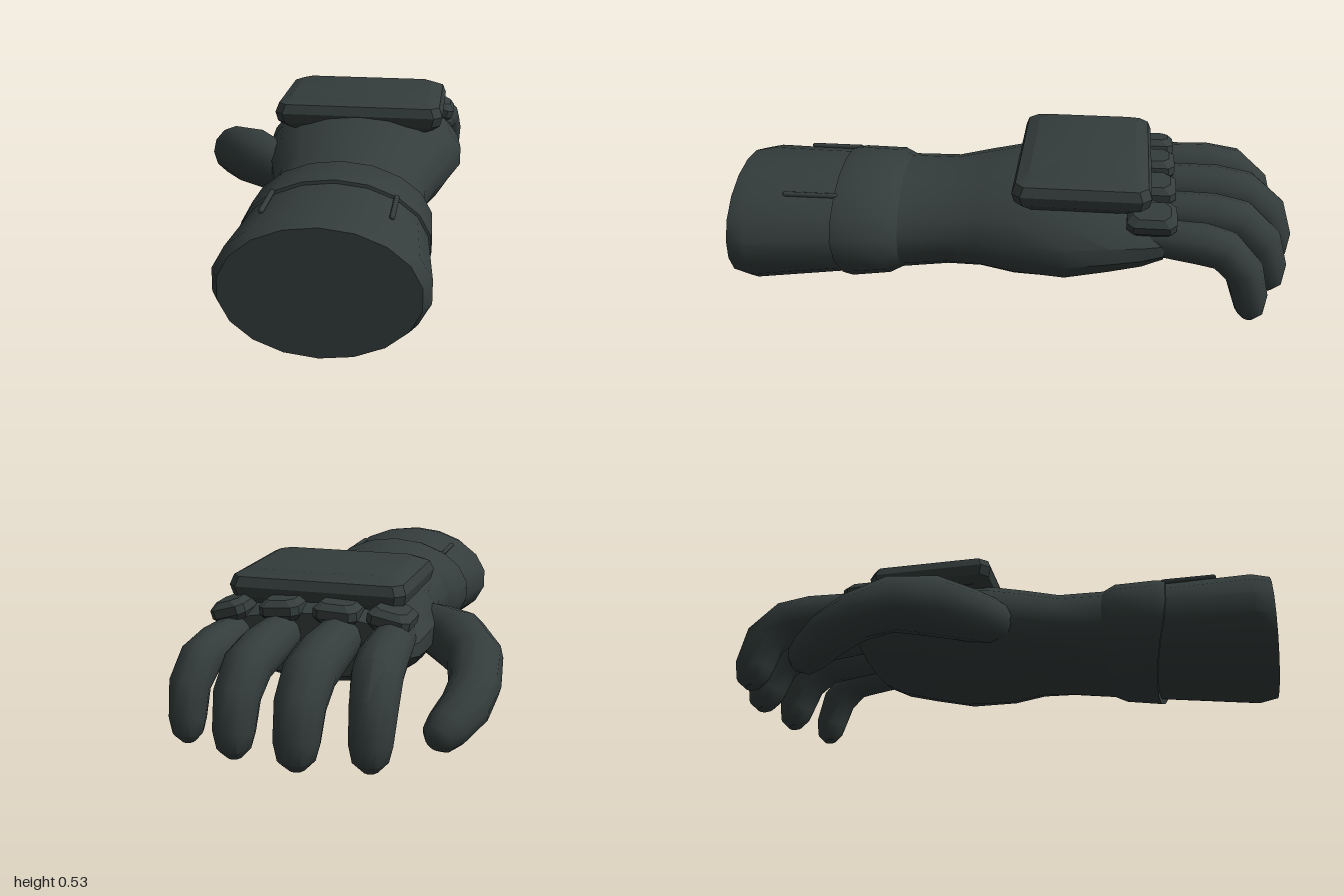
import * as THREE from 'three';
import { toCreasedNormals } from 'three/addons/utils/BufferGeometryUtils.js';

const V = (x, y, z) => new THREE.Vector3(x, y, z);

// Closed skin over a list of rings, with a flat cap at each end
function loft(rings, crease = 0.65) {
  const n = rings[0].length, pos = [], idx = [];
  rings.forEach(r => r.forEach(p => pos.push(p.x, p.y, p.z)));
  for (let r = 0; r < rings.length - 1; r++) {
    for (let i = 0; i < n; i++) {
      const j = (i + 1) % n, a = r * n, b = a + n;
      idx.push(a + i, a + j, b + j, a + i, b + j, b + i);
    }
  }
  [0, rings.length - 1].forEach((r, end) => {
    const c = rings[r].reduce((s, p) => s.add(p), V(0, 0, 0)).divideScalar(n);
    const k = pos.length / 3;
    pos.push(c.x, c.y, c.z);
    for (let i = 0; i < n; i++) {
      const a = r * n + i, b = r * n + (i + 1) % n;
      if (end) idx.push(k, a, b); else idx.push(k, b, a);
    }
  });
  const g = new THREE.BufferGeometry();
  g.setAttribute('position', new THREE.Float32BufferAttribute(pos, 3));
  g.setIndex(idx);
  return toCreasedNormals(g, crease);
}

// Oval ring across the arm; lean shifts the underside along z
function oval([z, x0, x1, y0, y1, lean = 0], n = 18) {
  const out = [];
  for (let i = 0; i < n; i++) {
    const a = i / n * Math.PI * 2 + Math.PI / 2, s = -Math.sin(a);
    out.push(V((x0 + x1) / 2 + Math.cos(a) * (x1 - x0) / 2,
      (y0 + y1) / 2 + s * (y1 - y0) / 2, z + lean * Math.max(0, -s)));
  }
  return out;
}

// Round limb along points [x, y, z, radius]
function limb(points, ref, n = 12) {
  const p = points.map(q => V(q[0], q[1], q[2]));
  return loft(p.map((c, k) => {
    const t = p[Math.min(k + 1, p.length - 1)].clone().sub(p[Math.max(k - 1, 0)]).normalize();
    const u = ref.clone().addScaledVector(t, -ref.dot(t)).normalize();
    const v = t.clone().cross(u);
    return Array.from({ length: n }, (_, i) => {
      const a = i / n * Math.PI * 2, r = points[k][3];
      return c.clone().addScaledVector(u, Math.cos(a) * r).addScaledVector(v, Math.sin(a) * r);
    });
  }), 0.75);
}

// Chamfered slab centred on the origin: layers are [y, inset]
function slab(w, d, corner, layers) {
  return loft(layers.map(([y, inset]) => {
    const x = w / 2 - inset, z = d / 2 - inset, c = corner;
    return [[x, c - z], [x - c, -z], [c - x, -z], [-x, c - z],
      [-x, z - c], [c - x, z], [x - c, z], [x, z - c]]
      .map(q => V(q[0], y, q[1]));
  }), 0.35);
}

export function createModel() {
  const group = new THREE.Group();
  const fabric = new THREE.MeshStandardMaterial({ color: 0x343d3c });
  fabric.name = 'dark grey fabric';
  const add = (name, geometry, x = 0, y = 0, z = 0) => {
    const m = new THREE.Mesh(geometry, fabric);
    m.name = name;
    m.position.set(x, y, z);
    group.add(m);
    return m;
  };

  // Forearm sleeve, wrist and palm
  add('sleeveAndPalm', loft([
    [1.0, -0.185, 0.42, 0.015, 0.422],
    [0.935, -0.215, 0.445, 0.003, 0.432],
    [0.62, -0.185, 0.415, 0.04, 0.432],
    [0.40, -0.16, 0.387, 0.065, 0.43],
    [0.24, -0.16, 0.387, 0.09, 0.43],
    [0.12, -0.185, 0.418, 0.10, 0.455],
    [0.0, -0.215, 0.452, 0.085, 0.478],
    [-0.18, -0.245, 0.50, 0.10, 0.482],
    [-0.33, -0.255, 0.485, 0.135, 0.47],
    [-0.44, -0.25, 0.465, 0.165, 0.445],
    [-0.51, -0.235, 0.45, 0.205, 0.42],
  ].map(s => oval(s))));

  // Raised wrist band with a slanted lower edge
  add('wristBand', loft([
    [0.635, -0.18, 0.41, 0.045, 0.425, -0.06],
    [0.632, -0.195, 0.425, 0.025, 0.443, -0.06],
    [0.60, -0.197, 0.427, 0.028, 0.45, -0.04],
    [0.45, -0.19, 0.42, 0.045, 0.448],
    [0.395, -0.155, 0.382, 0.07, 0.425],
  ].map(s => oval(s)), 0.8));

  // Sleeve seams
  for (const x of [-0.085, 0.31]) {
    const seam = add('sleeveSeam', new THREE.CapsuleGeometry(0.009, 0.18, 3, 8), x, 0.392, 0.715);
    seam.rotation.x = Math.PI / 2;
  }

  // Plate over the back of the hand
  add('backPlate', slab(0.62, 0.465, 0.03,
    [[-0.06, 0.035], [-0.035, 0.008], [0, 0], [0.033, 0.012], [0.055, 0.055]]),
  0.115, 0.48, -0.23);

  // Knuckle pads: x, y, width, roll
  for (const [x, y, w, roll] of [
    [-0.16, 0.415, 0.145, 0.2], [0.02, 0.427, 0.15, 0.05],
    [0.212, 0.427, 0.14, -0.07], [0.395, 0.41, 0.125, -0.28],
  ]) {
    const pad = add('knucklePad', slab(w, 0.165, 0.022,
      [[-0.036, 0.015], [-0.015, 0], [0.014, 0], [0.034, 0.02]]), x, y, -0.465);
    pad.rotation.z = roll;
  }

  // Curled fingers share one profile: z, y, radius
  const curl = [[-0.40, 0.335, 0.07], [-0.52, 0.342, 0.078], [-0.70, 0.332, 0.087],
    [-0.80, 0.315, 0.086], [-0.885, 0.245, 0.081], [-0.922, 0.14, 0.073],
    [-0.925, 0.09, 0.06], [-0.918, 0.06, 0.03]];
  for (const [name, base, tip, reach, thick, drop] of [
    ['indexFinger', -0.16, -0.205, 0.91, 0.95, 0],
    ['middleFinger', 0.01, 0.012, 1, 1, 0],
    ['ringFinger', 0.21, 0.228, 0.925, 0.92, 0],
    ['littleFinger', 0.37, 0.42, 0.76, 0.82, 0.015],
  ]) {
    add(name, limb(curl.map(([z, y, r], k) => [
      THREE.MathUtils.lerp(base, tip, Math.min(1, k / 4)),
      y - drop * (1 - k / 7), -0.45 + (z + 0.45) * reach, r * thick,
    ]), V(1, 0, 0)));
  }

  // Thumb, bent inwards and down
  add('thumb', limb([
    [-0.13, 0.26, 0.03, 0.08], [-0.22, 0.262, -0.06, 0.095], [-0.32, 0.262, -0.17, 0.108],
    [-0.405, 0.24, -0.30, 0.098], [-0.428, 0.19, -0.42, 0.088], [-0.415, 0.145, -0.51, 0.084],
    [-0.375, 0.10, -0.59, 0.074], [-0.352, 0.078, -0.635, 0.058], [-0.342, 0.068, -0.655, 0.03],
  ], V(0, 1, 0)));

  return group;
}
